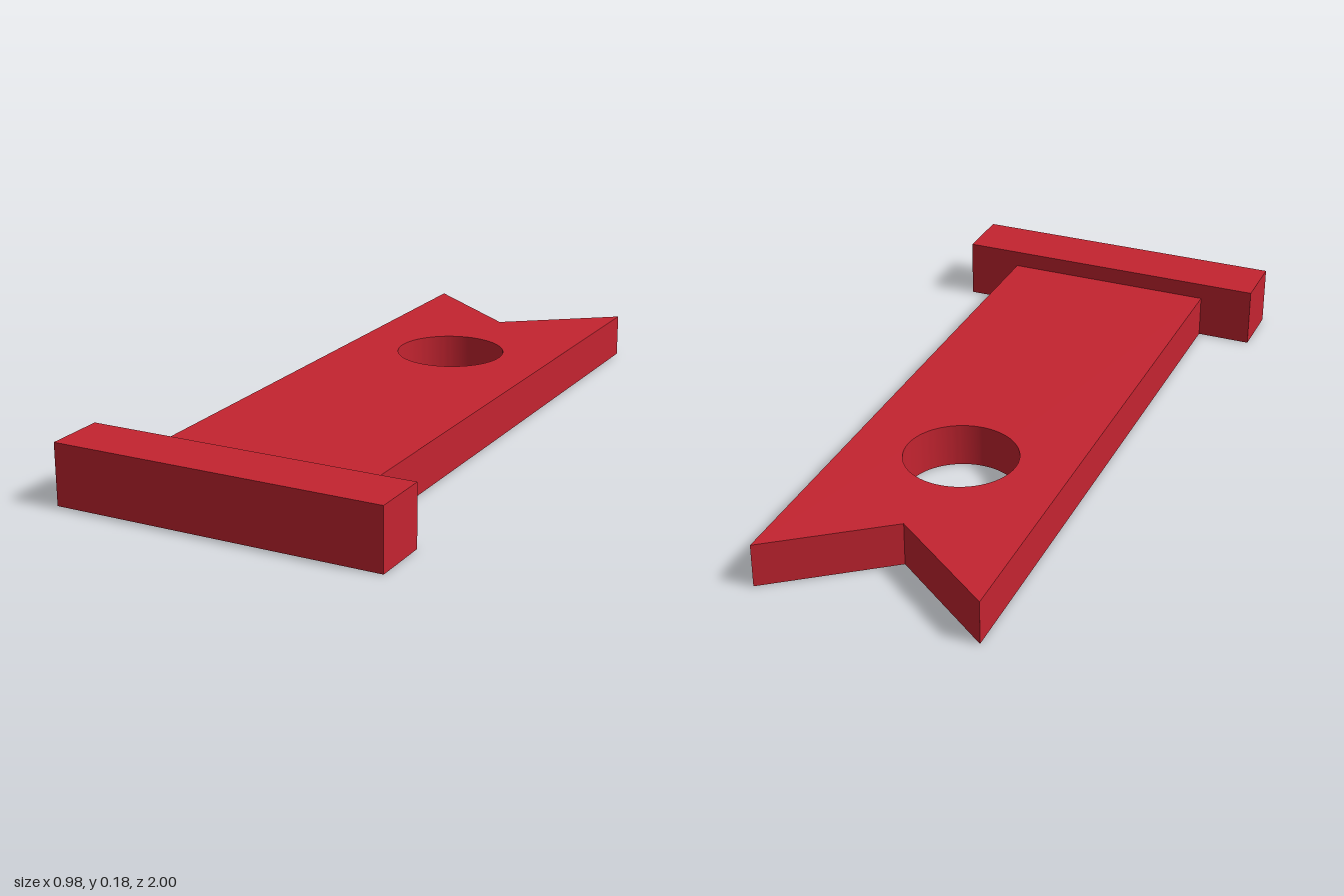
import * as THREE from 'three';
import { toCreasedNormals } from 'three/addons/utils/BufferGeometryUtils.js';

export function createModel() {
  const group = new THREE.Group();
  const red = new THREE.MeshStandardMaterial({ color: 0xc42430 });
  red.name = 'red';

  // Flat blade with a V-notched back end and a round hole (shape y is -z)
  const outline = new THREE.Shape([
    [-0.325, -0.82], [0.325, -0.82], [0.325, 1], [0, 0.755], [-0.325, 1],
  ].map(([x, y]) => new THREE.Vector2(x, y)));
  const hole = new THREE.Path();
  hole.absarc(0, 0.38, 0.165, 0, Math.PI * 2, true);
  outline.holes.push(hole);
  const bladeGeometry = new THREE.ExtrudeGeometry(outline, {
    depth: 0.13, bevelEnabled: false, curveSegments: 64,
  });
  bladeGeometry.rotateX(-Math.PI / 2);
  const blade = new THREE.Mesh(toCreasedNormals(bladeGeometry, 0.5), red);
  blade.name = 'notchedBlade';
  group.add(blade);

  // Wider, taller bar across the front end
  const bar = new THREE.Mesh(new THREE.BoxGeometry(0.98, 0.18, 0.18), red);
  bar.position.set(0, 0.09, 0.91);
  bar.name = 'crossBar';
  group.add(bar);

  return group;
}
